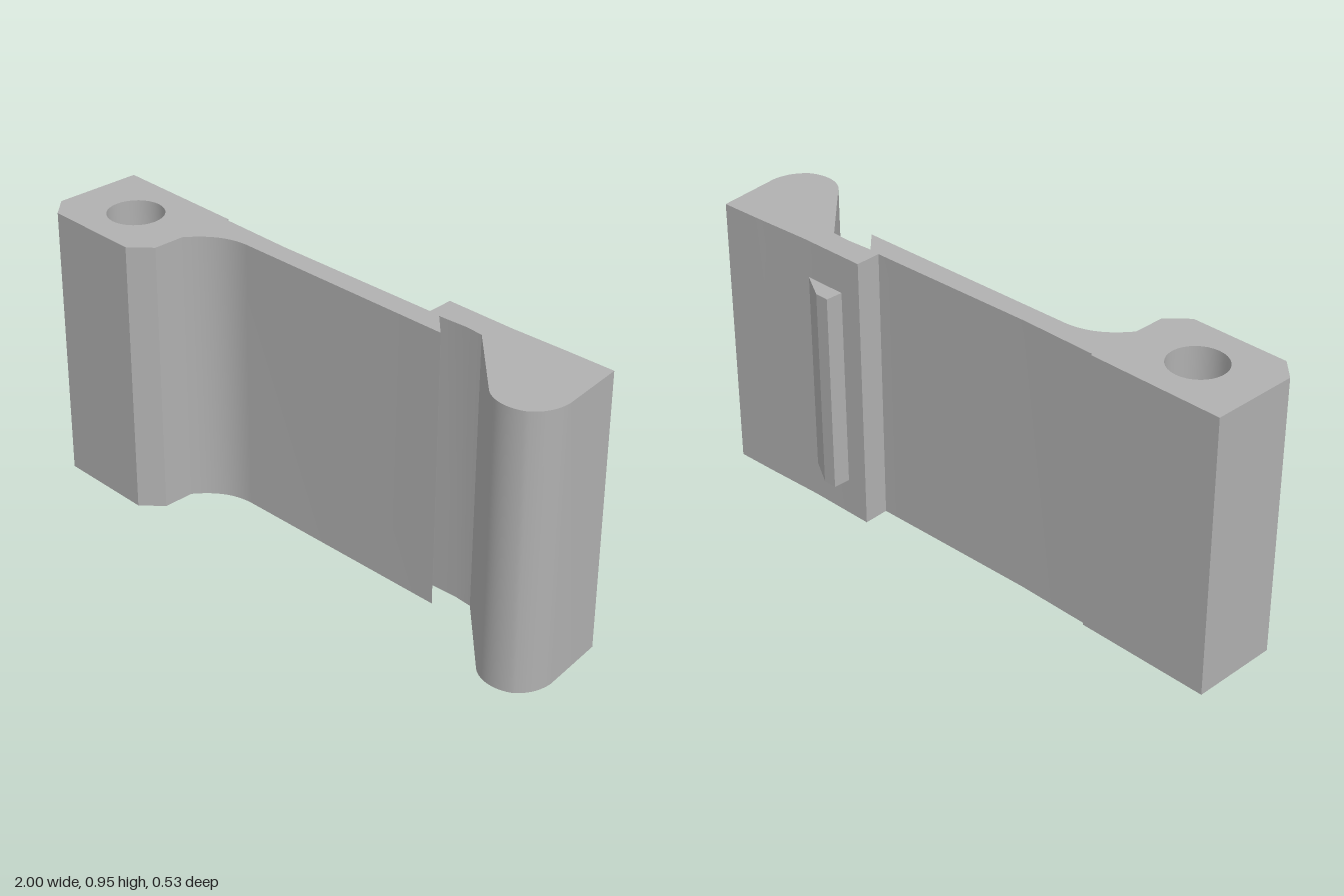
import * as THREE from 'three';
import { toCreasedNormals } from 'three/addons/utils/BufferGeometryUtils.js';

const HEIGHT = 0.955;

// Extrudes a plan outline drawn in (x, -z) upwards from y0 to y1.
function extrudeUp(shape, y0, y1) {
  const geo = new THREE.ExtrudeGeometry(shape, { depth: y1 - y0, bevelEnabled: false, curveSegments: 16 });
  geo.rotateX(-Math.PI / 2);
  geo.translate(0, y0, 0);
  return toCreasedNormals(geo, 0.5);
}

export function createModel() {
  const group = new THREE.Group();
  const grey = new THREE.MeshStandardMaterial({ color: 0xb0b0b0 });
  grey.name = 'grey';

  // Clip body: hinge block, thin strap, hooked notch and rounded finger grip
  const body = new THREE.Shape();
  const line = (...pts) => pts.forEach(([x, z]) => body.lineTo(x, -z));
  body.moveTo(-1, -0.2);
  line([-0.935, 0.265], [-0.59, 0.265], [-0.523, 0.2], [-0.523, 0.09]);
  body.bezierCurveTo(-0.475, -0.02, -0.42, 0.015, -0.345, 0.02); // fillet into strap
  line([0.475, -0.04], [0.4, -0.112], [0.5, -0.12], [0.565, -0.117], [0.8, 0.107]);
  body.bezierCurveTo(0.84, -0.14, 0.9, -0.145, 0.95, -0.115); // finger grip tip
  body.bezierCurveTo(0.985, -0.085, 1.0, -0.05, 1.0, 0);
  line([0.965, -0.23], [0.8, -0.222], [0.6, -0.21], [0.355, -0.205], [0.36, -0.115],
    [-0.25, -0.095], [-0.523, -0.096], [-0.523, -0.103], [-1, -0.103]);
  body.closePath();

  // Hinge pin hole
  const hole = new THREE.Path();
  hole.absarc(-0.765, -0.08, 0.095, 0, Math.PI * 2, true);
  body.holes.push(hole);

  const clip = new THREE.Mesh(extrudeUp(body, 0, HEIGHT), grey);
  clip.name = 'clipBody';
  group.add(clip);

  // Wedge-shaped catch on the back of the grip
  const wedge = new THREE.Shape([
    [0.435, 0.2], [0.585, 0.2], [0.585, 0.211], [0.485, 0.267], [0.435, 0.267],
  ].map(([x, y]) => new THREE.Vector2(x, y)));
  const latch = new THREE.Mesh(extrudeUp(wedge, 0.13, 0.825), grey);
  latch.name = 'latchWedge';
  group.add(latch);

  return group;
}
